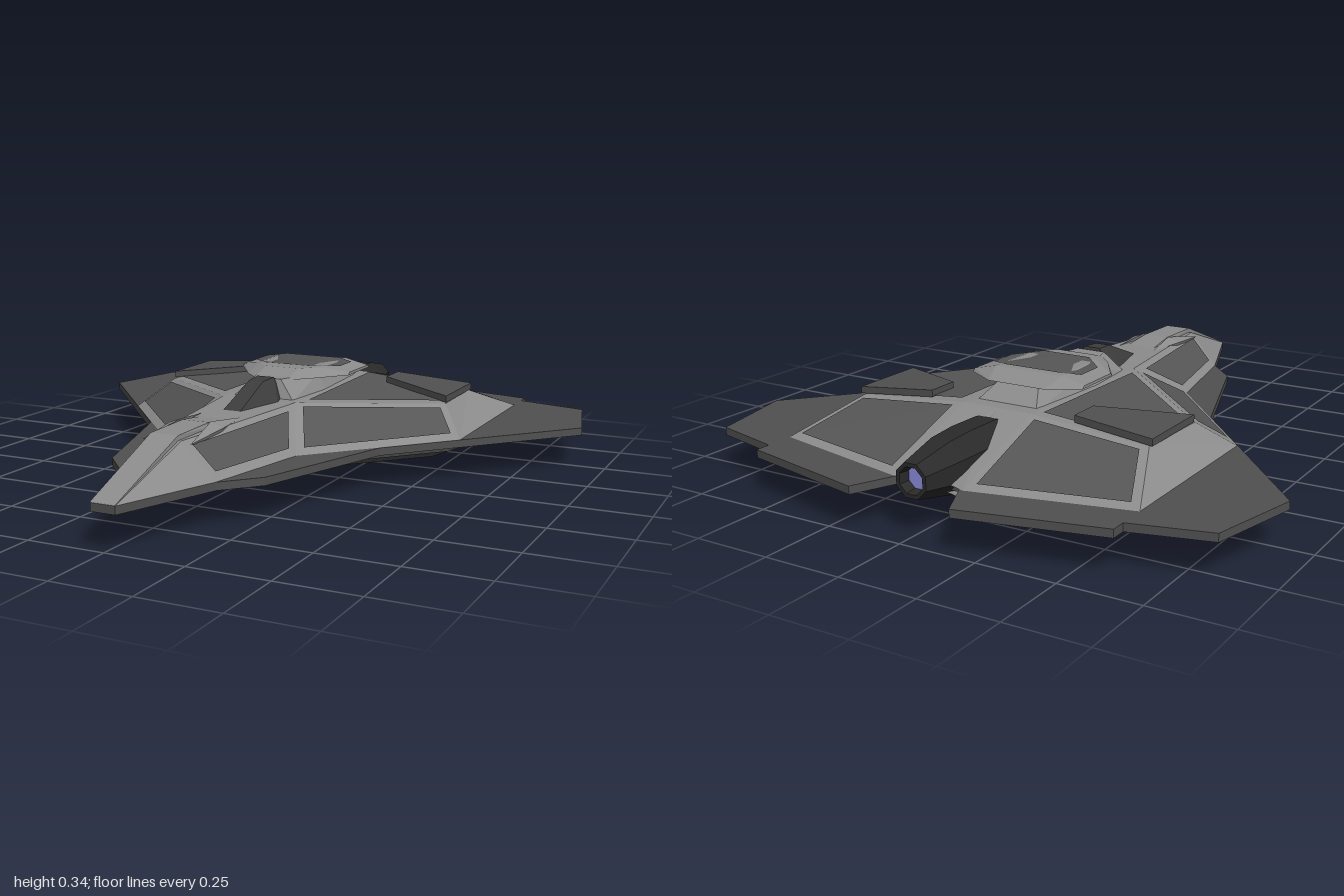
import * as THREE from 'three';
import { ConvexGeometry } from 'three/addons/geometries/ConvexGeometry.js';

const V = (x, y, z) => new THREE.Vector3(x, y, z);
const paint = (color) => new THREE.MeshStandardMaterial({ color, flatShading: true, side: THREE.DoubleSide });

export function createModel() {
  const model = new THREE.Group();
  const frame = paint(0x8c8c8c), panel = paint(0x565656), plate = paint(0x505050);
  const dark = paint(0x2a2a2a), glass = paint(0x3c3c3c), glow = paint(0x8c8cdd);

  const add = (name, geometry, material) => {
    const mesh = new THREE.Mesh(geometry, material);
    mesh.name = name;
    model.add(mesh);
    return mesh;
  };

  // Flat polygons mirrored across x, all turned to face up (+1) or down (-1)
  const facets = (polys, up) => {
    const out = [];
    for (const side of [1, -1]) for (const poly of polys) {
      const p = poly.map((v) => V(v.x * side, v.y, v.z));
      for (let i = 1; i < p.length - 1; i++) {
        const n = p[i].clone().sub(p[0]).cross(p[i + 1].clone().sub(p[0]));
        const tri = n.y * up > 0 ? [p[0], p[i], p[i + 1]] : [p[0], p[i + 1], p[i]];
        tri.forEach((v) => out.push(v.x, v.y, v.z));
      }
    }
    const g = new THREE.BufferGeometry();
    g.setAttribute('position', new THREE.Float32BufferAttribute(out, 3));
    g.computeVertexNormals();
    return g;
  };

  // Shrink a polygon by an even border and lift it off the hull
  const inset = (poly, w, lift) => poly.map((v, i) => {
    const a = poly[(i + 1) % poly.length].clone().sub(v).normalize();
    const b = poly[(i + poly.length - 1) % poly.length].clone().sub(v).normalize();
    const sin = a.clone().cross(b).length();
    const q = v.clone().addScaledVector(a.add(b), w / sin);
    q.y += lift;
    return q;
  });

  // Convex solid; mirrored points are added when symmetric
  const solid = (points, symmetric = true) => {
    const p = points.map((a) => V(...a));
    if (symmetric) points.forEach(([x, y, z]) => { if (x) p.push(V(-x, y, z)); });
    return new ConvexGeometry(p);
  };

  // Wing plate
  const edge = [[0.04, 1], [0.16, 0.67], [0.26, 0.56], [0.42, 0.08], [0.92, -0.49], [0.85, -0.79],
    [0.61, -0.85], [0.61, -0.9], [0.17, -1], [0.09, -0.83]];
  const outline = [...edge, ...edge.map(([x, z]) => [-x, z]).reverse()];
  const shape = new THREE.Shape(outline.map(([x, z]) => new THREE.Vector2(x, -z)));
  const wing = new THREE.ExtrudeGeometry(shape, { depth: 0.025, bevelEnabled: false });
  wing.rotateX(-Math.PI / 2).translate(0, 0.11, 0);
  add('wingPlate', wing, plate);

  // Hull shells: rim points shared in plan, inner points raised or lowered
  const shell = (name, up, rim, F, H, R, S1, S2) => {
    const A = V(0.61, rim, -0.14), B = V(0.61, rim, -0.76), C = V(0.12, rim, -0.87);
    const P = V(0.23, rim, 0.29), Q = V(0.16, rim, 0.67), N = V(0.04, rim, 1);
    const mid = (v) => V(0, v.y, v.z);
    const framed = [[F, P, A, S1], [F, P, Q, H], [F, S1, S2, R], [R, S2, B, C]];
    const plain = [[A, B, S2, S1], [H, Q, N], [mid(F), mid(H), H, F], [mid(H), mid(N), N, H],
      [mid(F), F, R, mid(R)], [mid(R), R, C, V(0, rim, -0.83)]];
    add(name, facets([...framed, ...plain], up), frame);
    add(name + 'Panels', facets(framed.map((f) => inset(f, 0.026, 0.005 * up)), up), panel);
  };
  shell('upperHull', 1, 0.135, V(0.13, 0.255, 0.09), V(0.055, 0.245, 0.68), V(0.12, 0.26, -0.52),
    V(0.52, 0.225, -0.25), V(0.51, 0.225, -0.52));
  shell('lowerHull', -1, 0.11, V(0.12, 0.035, 0.09), V(0.05, 0.08, 0.68), V(0.1, 0.025, -0.52),
    V(0.49, 0.045, -0.25), V(0.49, 0.045, -0.54));

  // Nose spine with a blade on each side
  add('noseSpine', solid([[0.04, 0.137, 1], [0.045, 0.26, 0.68], [0.045, 0.263, 0.5], [0.055, 0.24, 0.3],
    [0.05, 0.14, 0.3]]), frame);
  for (const s of [1, -1]) {
    add('noseBlade', solid([[s * 0.07, 0.25, 0.34], [s * 0.05, 0.266, 0.5], [s * 0.092, 0.25, 0.5],
      [s * 0.08, 0.235, 0.67], [s * 0.07, 0.2, 0.5]], false), frame);
  }

  // Cockpit canopy
  add('cockpit', solid([[0.03, 0.25, 0.28], [0.075, 0.255, 0.1], [0.05, 0.255, 0.02], [0.025, 0.318, 0.11],
    [0.03, 0.322, 0.04], [0.03, 0.23, 0.28]]), glass);

  // Neck and dorsal disc with its dark top panel
  add('neck', solid([[0.11, 0.25, 0.06], [0.13, 0.25, -0.15], [0.11, 0.25, -0.48], [0.05, 0.315, 0.03],
    [0.1, 0.31, -0.15], [0.07, 0.31, -0.4]]), frame);
  add('dorsalDisc', solid([[0.06, 0.308, 0], [0.11, 0.308, -0.05], [0.2, 0.306, -0.18], [0.2, 0.306, -0.36],
    [0.1, 0.306, -0.42], [0.2, 0.315, -0.19], [0.2, 0.315, -0.35], [0.06, 0.334, -0.08], [0.11, 0.334, -0.13],
    [0.12, 0.334, -0.35]]), frame);
  const disc = [V(0, 0.337, -0.125), V(0.085, 0.337, -0.125), V(0.16, 0.331, -0.2), V(0.16, 0.331, -0.3),
    V(0.1, 0.337, -0.33), V(0, 0.337, -0.33)];
  add('discPanel', facets([disc], 1), panel);

  // Raised wing pads
  const padPlan = [[0.255, 0.272, -0.5], [0.52, 0.25, -0.52], [0.52, 0.25, -0.255], [0.255, 0.272, -0.39]];
  for (const s of [1, -1]) {
    add('wingPad', solid(padPlan.flatMap(([x, y, z]) => [[s * x, y, z], [s * x, y - 0.022, z]]), false), plate);
  }

  // Belly pod
  add('bellyPod', solid([[0.07, 0, -0.1], [0.07, 0, -0.44], [0.11, 0.05, 0.02], [0.06, 0.05, 0.1],
    [0.11, 0.05, -0.5], [0.06, 0.05, -0.54]]), panel);

  // Engine pod with a recessed glowing nozzle
  const profile = [[0.001, 0.44], [0.07, 0.45], [0.09, 0.58], [0.092, 0.7], [0.086, 0.8], [0.055, 0.94],
    [0.042, 0.94], [0.036, 0.9]].map(([r, d]) => new THREE.Vector2(r, d));
  const pod = new THREE.LatheGeometry(profile, 8, Math.PI / 8);
  pod.rotateX(-Math.PI / 2).translate(0, 0.162, 0);
  add('engine', pod, dark);
  const nozzle = new THREE.CircleGeometry(0.038, 8, Math.PI / 8);
  nozzle.rotateY(Math.PI).translate(0, 0.162, -0.905);
  add('engineGlow', nozzle, glow);

  return model;
}
